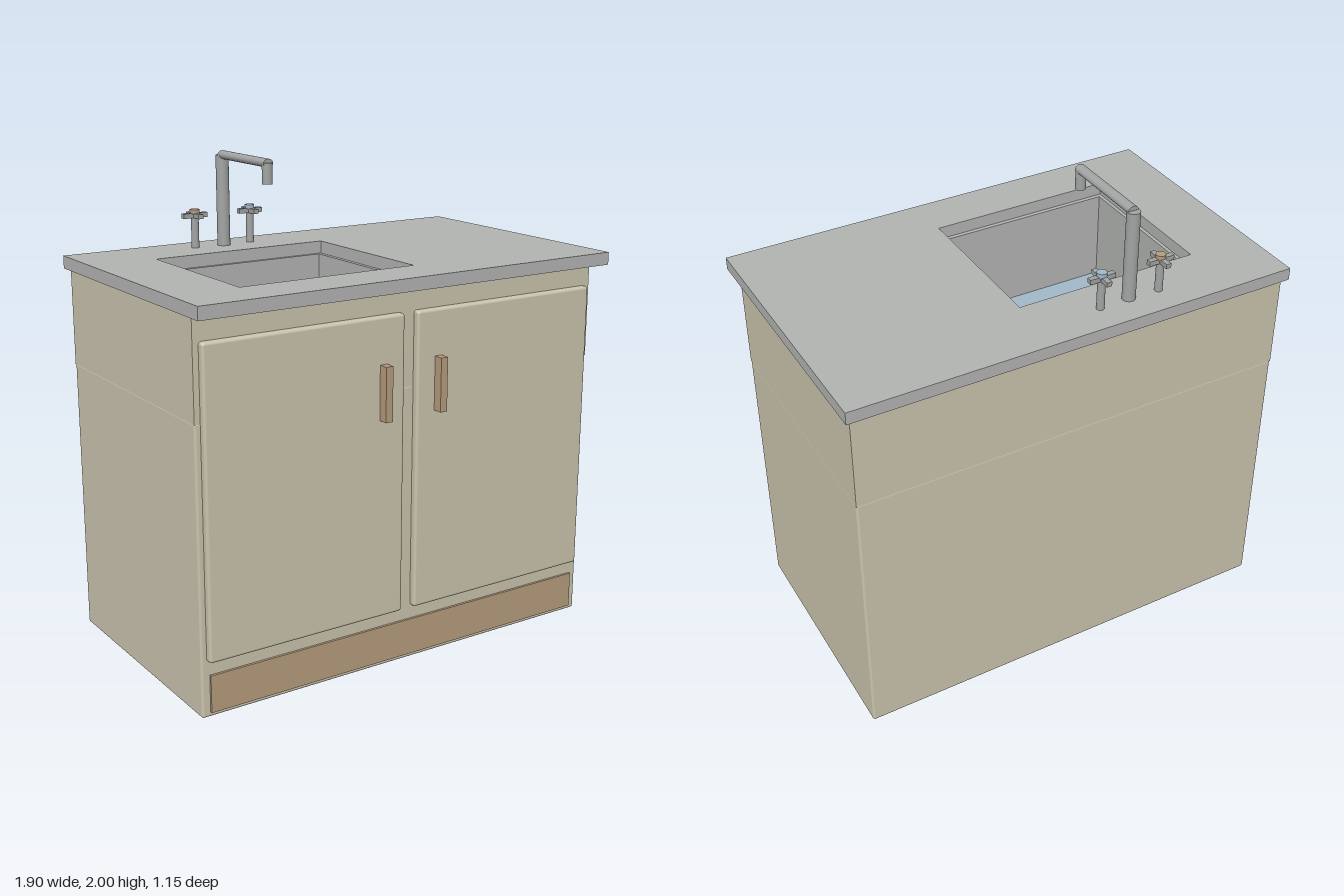
import * as THREE from 'three';
import { RoundedBoxGeometry } from 'three/addons/geometries/RoundedBoxGeometry.js';

const material = (name, color) => {
  const m = new THREE.MeshStandardMaterial({ color });
  m.name = name;
  return m;
};

// Path around a rectangle given in x and z
function rect(path, x0, x1, z0, z1) {
  path.moveTo(x0, -z1);
  path.lineTo(x1, -z1);
  path.lineTo(x1, -z0);
  path.lineTo(x0, -z0);
  path.closePath();
  return path;
}

// Rectangular slab with a rectangular opening, from y0 up to y1
function frame(outer, inner, y0, y1) {
  const shape = rect(new THREE.Shape(), ...outer);
  shape.holes.push(rect(new THREE.Path(), ...inner));
  return new THREE.ExtrudeGeometry(shape, { depth: y1 - y0, bevelEnabled: false })
    .rotateX(-Math.PI / 2).translate(0, y0, 0);
}

export function createModel() {
  const model = new THREE.Group();
  model.name = 'sinkCabinet';
  const beige = material('beige cabinet', 0xcac3ad);
  const grey = material('grey counter', 0xb2b4b2);
  const metal = material('metal', 0xa2a4a3);
  const wood = material('wood', 0xb69c7d);
  const blue = material('blue', 0xa3b9c8);

  const add = (name, geometry, mat, parent = model) => {
    const mesh = new THREE.Mesh(geometry, mat);
    mesh.name = name;
    parent.add(mesh);
    return mesh;
  };
  const box = (x0, x1, y0, y1, z0, z1, bevel = 0) => {
    const size = [x1 - x0, y1 - y0, z1 - z0];
    const g = bevel ? new RoundedBoxGeometry(...size, 2, bevel) : new THREE.BoxGeometry(...size);
    return g.translate((x0 + x1) / 2, (y0 + y1) / 2, (z0 + z1) / 2);
  };

  // Cabinet body: closed lower box and a hollow upper band
  add('lowerCabinet', box(-0.929, 0.929, 0, 1.16, -0.555, 0.487, 0.01), beige);
  add('upperCabinet', frame([-0.929, 0.929, -0.555, 0.487], [-0.909, 0.909, -0.535, 0.467], 1.155, 1.553), beige);
  add('kickBoard', box(-0.894, 0.894, 0.02, 0.173, 0.47, 0.497), wood);

  // Mirrored doors with upright handles
  for (const [side, s] of [['left', 1], ['right', -1]]) {
    const span = (a, b) => (s > 0 ? [a, b] : [-b, -a]);
    add(side + 'Door', box(...span(0.03, 0.905), 0.23, 1.457, 0.475, 0.515, 0.012), beige);
    add(side + 'DoorHandle', box(...span(0.114, 0.146), 1.05, 1.27, 0.505, 0.556), wood);
  }

  // Countertop and sunken basin
  const opening = [-0.67, 0.11, -0.3, 0.37];
  const inner = [-0.655, 0.092, -0.286, 0.352];
  add('countertop', frame([-0.95, 0.95, -0.576, 0.576], opening, 1.553, 1.605), grey);
  add('basinWalls', frame(opening, inner, 1.165, 1.553), grey);
  add('basinFloor', box(inner[0], inner[1], 1.165, 1.172, inner[2], inner[3]), blue);

  // Faucet: column, arm and down-turned spout
  const faucet = new THREE.Group();
  faucet.name = 'faucet';
  faucet.position.set(-0.282, 0, 0);
  model.add(faucet);
  const pipe = (r, y0, y1, z) =>
    new THREE.CylinderGeometry(r, r, y1 - y0, 24).translate(0, (y0 + y1) / 2, z);
  add('faucetColumn', pipe(0.027, 1.6, 1.982, -0.445), metal, faucet);
  add('faucetSpout', pipe(0.021, 1.9, 1.984, -0.079), metal, faucet);
  const arm = new THREE.CylinderGeometry(0.022, 0.022, 0.373, 24)
    .rotateX(Math.PI / 2).scale(1, 0.8, 1).translate(0, 1.9825, -0.2565);
  add('faucetArm', arm, metal, faucet);

  // Taps with cross handles and coloured caps
  for (const [name, x, cap] of [['hotTap', -0.413, wood], ['coldTap', -0.151, blue]]) {
    const tap = new THREE.Group();
    tap.name = name;
    tap.position.set(x, 0, -0.452);
    model.add(tap);
    add('tapPost', pipe(0.016, 1.6, 1.74, 0), metal, tap);
    add('tapBarAcross', box(-0.055, 0.055, 1.73, 1.75, -0.011, 0.011), metal, tap);
    add('tapBarAlong', box(-0.011, 0.011, 1.7305, 1.7495, -0.055, 0.055), metal, tap);
    add('tapCap', pipe(0.02, 1.745, 1.765, 0), cap, tap);
  }
  return model;
}
